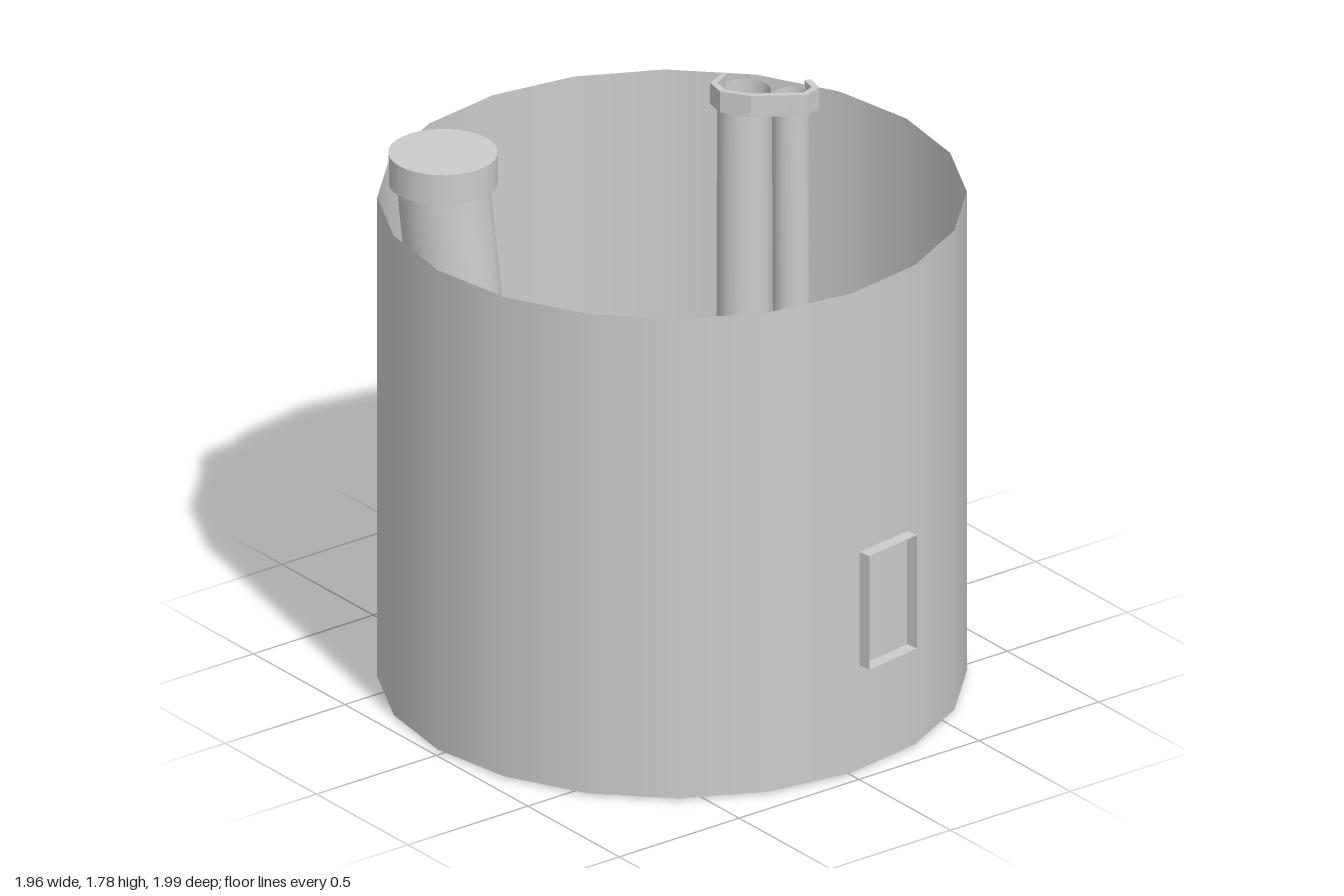
import * as THREE from 'three';

const GREY = new THREE.MeshStandardMaterial({ color: 0xcccccc });
const GREY_OPEN = new THREE.MeshStandardMaterial({ color: 0xcccccc, side: THREE.DoubleSide });
const GREY_FLAT = new THREE.MeshStandardMaterial({ color: 0xcccccc, flatShading: true });

function add(parent, name, geometry, material, x = 0, y = 0, z = 0) {
  const mesh = new THREE.Mesh(geometry, material);
  mesh.name = name;
  mesh.position.set(x, y, z);
  parent.add(mesh);
  return mesh;
}

// Slightly bowed upright pipe, open at both ends
function bowedPipe(parent, name, x, z, radius, top, bowY, bowX, bowZ) {
  const path = new THREE.CatmullRomCurve3([
    new THREE.Vector3(x, 0, z),
    new THREE.Vector3(x + bowX, bowY, z + bowZ),
    new THREE.Vector3(x, top, z),
  ]);
  return add(parent, name, new THREE.TubeGeometry(path, 16, radius, 28), GREY_OPEN);
}

// Capped column with a bolted flange
function makeColumn() {
  const column = new THREE.Group();
  column.name = 'flangedColumn';
  const x = -0.4225, z = -0.72;
  bowedPipe(column, 'columnPipe', x, z, 0.155, 1.67, 1.05, 0.032, 0.037);
  add(column, 'columnBase', new THREE.CircleGeometry(0.155, 28).rotateX(Math.PI / 2), GREY_OPEN, x, 0.002, z);
  add(column, 'columnCap', new THREE.CylinderGeometry(0.182, 0.182, 0.11, 32), GREY, x, 1.715, z);

  const flange = new THREE.Group();
  flange.name = 'flange';
  flange.position.set(-0.39, 1.05, -0.683);
  column.add(flange);
  add(flange, 'flangeDisc', new THREE.CylinderGeometry(0.228, 0.228, 0.1, 16), GREY);
  for (let i = 0; i < 8; i++) {
    const a = (i + 0.5) * Math.PI / 4;
    add(flange, 'flangeBolt', new THREE.CylinderGeometry(0.03, 0.03, 0.17, 12), GREY,
      0.182 * Math.cos(a), 0, 0.182 * Math.sin(a));
  }
  return column;
}

// Pair of thin pipes held by two strap brackets
function makeTwinPipes() {
  const twin = new THREE.Group();
  twin.name = 'twinPipes';
  bowedPipe(twin, 'largePipe', 0.705, -0.552, 0.09, 1.74, 0.87, -0.006, 0.006);
  bowedPipe(twin, 'smallPipe', 0.805, -0.428, 0.0625, 1.74, 0.78, 0.007, -0.004);

  // Strap outline as x, z pairs: outer side, then back along the inner side
  const outline = [
    [0.705, -0.658], [0.615, -0.62], [0.6, -0.546], [0.658, -0.456],
    [0.811, -0.35], [0.88, -0.371], [0.897, -0.44],
    [0.875, -0.445], [0.862, -0.388], [0.815, -0.372],
    [0.675, -0.468], [0.622, -0.543], [0.633, -0.605], [0.695, -0.638],
  ];
  const shape = new THREE.Shape(outline.map(([x, z]) => new THREE.Vector2(x, -z)));
  const strap = new THREE.ExtrudeGeometry(shape, { depth: 0.077, bevelEnabled: false }).rotateX(-Math.PI / 2);
  for (const y of [0.487, 1.69]) add(twin, 'strapBracket', strap, GREY, 0, y, 0);
  return twin;
}

// Box set into the wall, open to the outside, with a chamfered inner cover
function makeWallBox() {
  const box = new THREE.Group();
  box.name = 'wallBox';
  box.position.set(0.154, 0.587, 0.928);
  box.rotation.y = Math.PI / 20;

  const housing = new THREE.BoxGeometry(0.228, 0.415, 0.098);
  const index = Array.from(housing.index.array);
  index.splice(24, 6); // leave the outer face open
  housing.setIndex(index);
  housing.clearGroups();
  add(box, 'boxHousing', housing, GREY_OPEN);

  const w = 0.075, h = 0.165;
  const face = new THREE.Shape([
    new THREE.Vector2(-w, -h), new THREE.Vector2(w, -h),
    new THREE.Vector2(w, h), new THREE.Vector2(-w, h),
  ]);
  const cover = new THREE.ExtrudeGeometry(face, {
    depth: 0.04, bevelThickness: 0.018, bevelSize: 0.018, bevelSegments: 1,
  });
  add(box, 'innerCover', cover, GREY_FLAT, 0, 0, -0.082);
  return box;
}

export function createModel() {
  const model = new THREE.Group();
  model.name = 'tankWithFittings';
  // Open tank wall
  add(model, 'tankWall', new THREE.CylinderGeometry(0.978, 0.978, 1.755, 20, 1, true), GREY_OPEN, 0, 0.8775, -0.022);
  model.add(makeColumn(), makeTwinPipes(), makeWallBox());
  return model;
}
